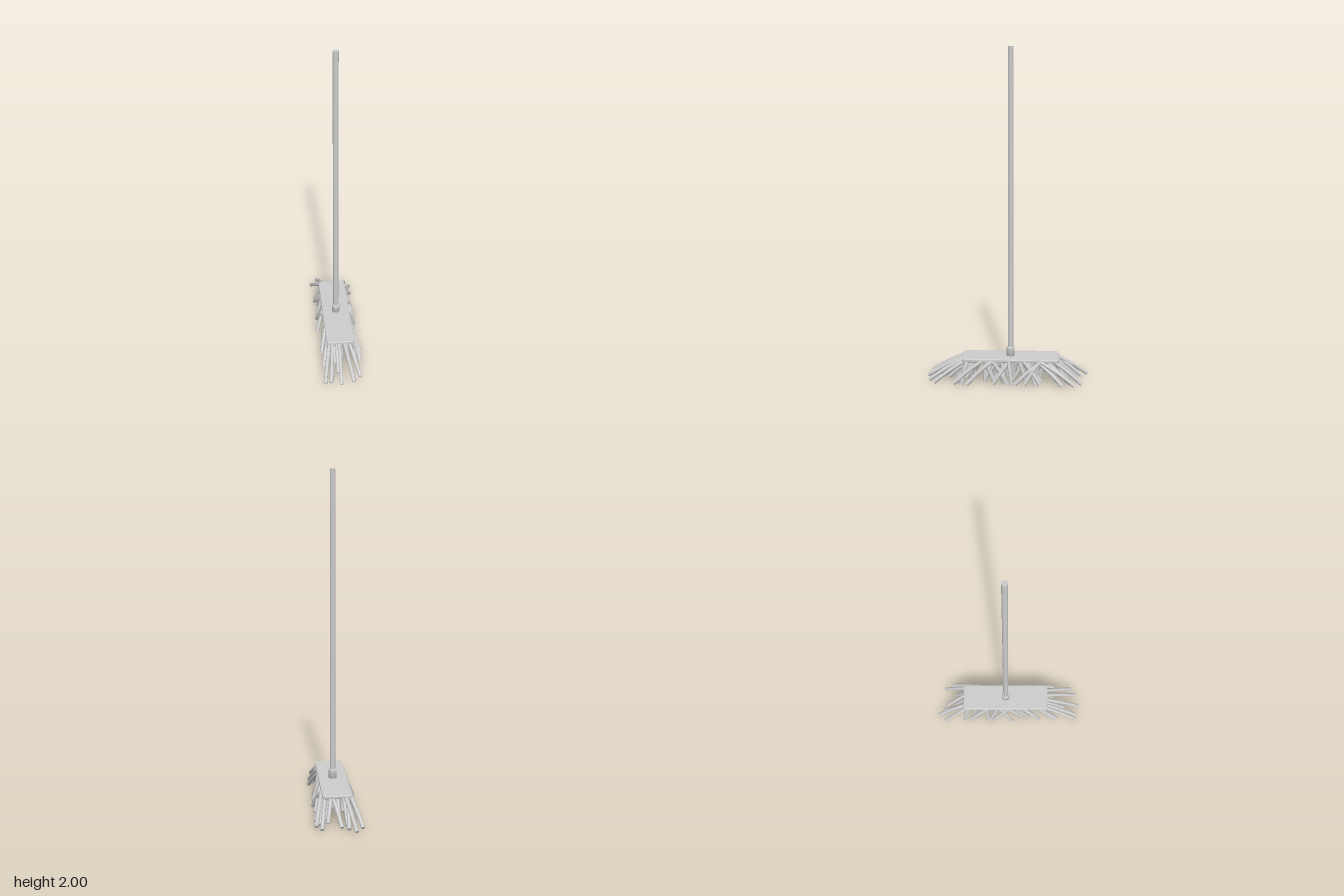
import * as THREE from 'three';

const material = new THREE.MeshStandardMaterial({ color: 0xcccccc, roughness: 0.8 });
const CENTER_Z = -0.02;

function addMesh(parent, name, geometry) {
  const mesh = new THREE.Mesh(geometry, material);
  mesh.name = name;
  parent.add(mesh);
  return mesh;
}

function seeded(seed) {
  return () => {
    seed = (seed * 16807) % 2147483647;
    return seed / 2147483647;
  };
}

// Flat head plate with rounded corners and softened edges
function plateGeometry() {
  const w = 0.083, l = 0.288, r = 0.014, bevel = 0.005;
  const s = new THREE.Shape();
  s.moveTo(-w + r, -l);
  s.lineTo(w - r, -l);
  s.absarc(w - r, -l + r, r, -Math.PI / 2, 0);
  s.absarc(w - r, l - r, r, 0, Math.PI / 2);
  s.absarc(-w + r, l - r, r, Math.PI / 2, Math.PI);
  s.absarc(-w + r, -l + r, r, Math.PI, Math.PI * 1.5);
  const g = new THREE.ExtrudeGeometry(s, {
    depth: 0.01, bevelThickness: bevel, bevelSize: bevel, bevelSegments: 3, curveSegments: 6,
  });
  return g.rotateX(-Math.PI / 2).translate(0, 0.137, CENTER_Z);
}

// One capped strand from the plate to the ground, arched slightly upward
function strandGeometry(rx, rz, tx, tz) {
  const radius = 0.0115;
  const root = new THREE.Vector3(rx, 0.138, rz);
  const tip = new THREE.Vector3(tx, 0, tz);
  const dir = tip.clone().sub(root);
  const length = dir.length();
  dir.normalize();
  tip.y = radius * Math.hypot(dir.x, dir.z);
  const g = new THREE.CylinderGeometry(radius, radius, length, 10, 5);
  const pos = g.attributes.position;
  const turn = new THREE.Quaternion().setFromUnitVectors(
    new THREE.Vector3(0, 1, 0), tip.clone().sub(root).normalize());
  const v = new THREE.Vector3();
  for (let i = 0; i < pos.count; i++) {
    v.fromBufferAttribute(pos, i);
    const t = v.y / length + 0.5;
    v.y = 0;
    v.applyQuaternion(turn).add(root.clone().lerp(tip, t));
    v.y += 0.008 * Math.sin(Math.PI * t);
    pos.setXYZ(i, v.x, v.y, v.z);
  }
  g.computeVertexNormals();
  // Keep the end caps flat and the sides smooth along the seam
  const n = g.attributes.normal;
  for (let row = 0; row <= 5; row++) {
    const a = row * 11, b = a + 10;
    v.fromBufferAttribute(n, a).add(new THREE.Vector3().fromBufferAttribute(n, b)).normalize();
    n.setXYZ(a, v.x, v.y, v.z);
    n.setXYZ(b, v.x, v.y, v.z);
  }
  return g;
}

// Outer strands: root x, root z, tip x, tip z
const OUTER = [
  [-0.075, -0.29, -0.13, -0.445], [-0.045, -0.29, -0.088, -0.495],
  [-0.06, -0.28, -0.05, -0.455], [0.03, -0.28, -0.013, -0.43],
  [0.085, -0.2, 0.132, -0.405], [0.08, -0.18, 0.13, -0.33],
  [-0.07, 0.25, -0.12, 0.475], [-0.05, 0.25, -0.082, 0.47],
  [-0.01, 0.25, -0.02, 0.49], [0.02, 0.25, 0.06, 0.475],
  [0.05, 0.24, 0.104, 0.44], [0.08, 0.15, 0.122, 0.32],
  [0.08, 0.09, 0.13, 0.24], [-0.075, 0.2, -0.118, 0.33],
  [-0.06, 0.22, -0.068, 0.42], [-0.02, 0.2, -0.03, 0.39],
];
const OUTER_SIDE = [
  [-0.08, -0.14, -0.122, -0.275], [-0.08, 0.0, -0.122, -0.105],
  [-0.08, -0.06, -0.13, 0.025], [-0.08, -0.16, -0.115, -0.14],
  [-0.08, 0.1, -0.118, 0.215], [-0.08, 0.05, -0.1, 0.1],
  [0.08, -0.2, 0.13, -0.105], [0.08, -0.01, 0.125, -0.03],
  [0.08, -0.1, 0.122, -0.2], [0.08, -0.21, 0.12, -0.05],
  [0.08, 0.09, 0.1, 0.0],
];

export function createModel() {
  const group = new THREE.Group();
  group.name = 'broom';

  addMesh(group, 'headPlate', plateGeometry());

  // Handle and the collar it sits in
  const handle = addMesh(group, 'handle', new THREE.CylinderGeometry(0.0165, 0.0165, 1.85, 24));
  handle.position.set(0, 1.075, CENTER_Z);
  const collarProfile = [
    [0, 0.145], [0.025, 0.145], [0.025, 0.2], [0.0235, 0.206], [0.02, 0.208], [0.0165, 0.208],
  ].map(([x, y]) => new THREE.Vector2(x, y));
  const collar = addMesh(group, 'collar', new THREE.LatheGeometry(collarProfile, 24));
  collar.position.z = CENTER_Z;

  // Bristle strands: outer fringe plus a criss-crossing inner grid
  const bristles = new THREE.Group();
  bristles.name = 'bristles';
  group.add(bristles);
  for (const strand of [...OUTER, ...OUTER_SIDE]) {
    addMesh(bristles, 'outerStrand', strandGeometry(...strand));
  }
  const random = seeded(4711);
  for (let i = 0; i < 5; i++) {
    for (let j = 0; j < 11; j++) {
      const x = (i - 2) * 0.035;
      const u = (j - 5) / 5;
      const z = CENTER_Z + u * 0.26;
      const tipX = x * 1.5 + (random() - 0.5) * 0.03;
      const tipZ = z + u * 0.07 + (random() - 0.5) * 0.24;
      const limit = 0.45;
      addMesh(bristles, 'innerStrand', strandGeometry(
        x, z, tipX, THREE.MathUtils.clamp(tipZ, -limit, limit)));
    }
  }
  return group;
}
